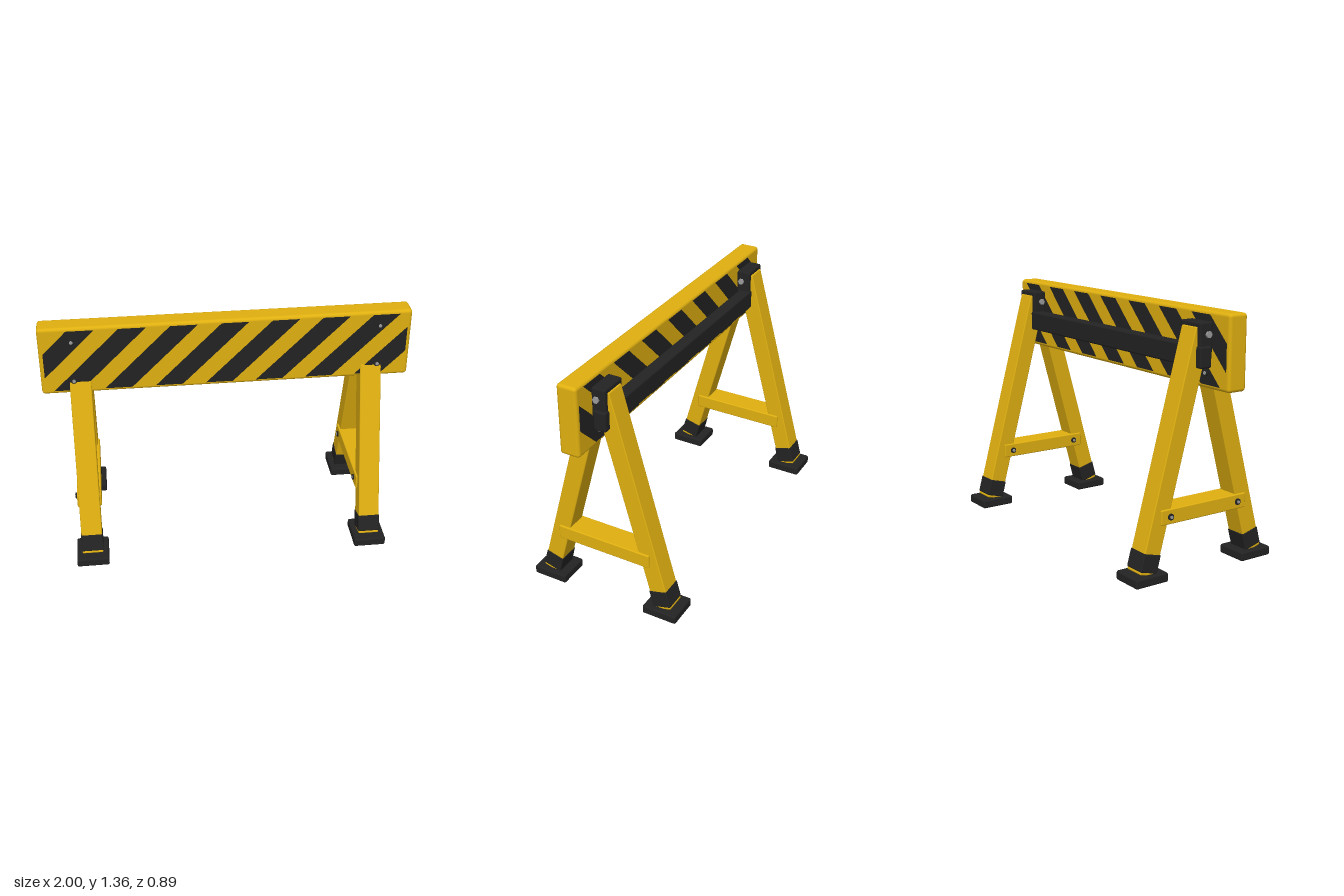
import * as THREE from 'three';
import { RoundedBoxGeometry } from 'three/addons/geometries/RoundedBoxGeometry.js';

const yellow = new THREE.MeshStandardMaterial({ color: 0xe0b010 });
yellow.name = 'safety yellow';
const black = new THREE.MeshStandardMaterial({ color: 0x232323 });
black.name = 'rubber black';
const grey = new THREE.MeshStandardMaterial({ color: 0x9c9c9c });
grey.name = 'bolt grey';

function box(parent, name, size, pos, material, radius = 0.01) {
  const mesh = new THREE.Mesh(new RoundedBoxGeometry(...size, 2, radius), material);
  mesh.name = name;
  mesh.position.set(...pos);
  parent.add(mesh);
  return mesh;
}

// Dark round washer with a hexagonal grey head, pointing along dir
function bolt(parent, name, pos, dir, washerRadius, headRadius) {
  const group = new THREE.Group();
  group.name = name;
  const layers = [[washerRadius, 0.008, 16, black], [headRadius, 0.013, 6, grey]];
  for (const [r, h, sides, material] of layers) {
    const mesh = new THREE.Mesh(new THREE.CylinderGeometry(r, r, h, sides), material);
    mesh.name = material === grey ? 'boltHead' : 'boltWasher';
    mesh.position.y = h / 2;
    group.add(mesh);
  }
  group.position.set(...pos);
  group.quaternion.setFromUnitVectors(new THREE.Vector3(0, 1, 0), new THREE.Vector3(...dir));
  parent.add(group);
}

// Diagonal stripe clipped to the panel's left and right edges
function stripeShape(center) {
  const halfH = 0.1785, halfW = 0.0725, edge = 0.978;
  let pts = [
    [center - halfW - halfH, -halfH], [center + halfW - halfH, -halfH],
    [center + halfW + halfH, halfH], [center - halfW + halfH, halfH],
  ];
  for (const s of [-1, 1]) {
    const out = [];
    pts.forEach((a, i) => {
      const b = pts[(i + 1) % pts.length];
      const da = edge - s * a[0], db = edge - s * b[0];
      if (da >= 0) out.push(a);
      if (da * db < 0) {
        const t = da / (da - db);
        out.push([a[0] + t * (b[0] - a[0]), a[1] + t * (b[1] - a[1])]);
      }
    });
    pts = out;
  }
  return new THREE.Shape(pts.map(p => new THREE.Vector2(...p)));
}

function createBoard() {
  const board = new THREE.Group();
  board.name = 'board';
  box(board, 'boardPanel', [2, 0.395, 0.115], [0, 1.1575, 0.0775], yellow, 0.018);

  // Stripes on the front and back faces
  for (let i = 0; i < 8; i++) {
    const geometry = new THREE.ExtrudeGeometry(stripeShape((i - 3.5) * 0.2727),
      { depth: 0.004, bevelEnabled: false });
    for (const z of [0.133, 0.018]) {
      const stripe = new THREE.Mesh(geometry, black);
      stripe.name = z > 0.1 ? 'frontStripe' : 'backStripe';
      stripe.position.set(0, 1.1585, z);
      board.add(stripe);
    }
  }

  // Through bolts
  for (const x of [-0.825, 0.825]) {
    for (const y of [1.04, 1.275]) {
      bolt(board, 'frontBoardBolt', [x, y, 0.135], [0, 0, 1], 0.017, 0.01);
      bolt(board, 'backBoardBolt', [x, y, 0.02], [0, 0, -1], 0.017, 0.01);
    }
  }
  return board;
}

function createTrestle(x) {
  const trestle = new THREE.Group();
  trestle.name = x < 0 ? 'rightTrestle' : 'leftTrestle';
  trestle.position.x = x;

  const top = new THREE.Vector2(0.02, 1.27), bottom = new THREE.Vector2(0.353, 0.045);
  const length = top.distanceTo(bottom);
  const lean = Math.atan2(bottom.x - top.x, top.y - bottom.y);
  for (const s of [1, -1]) {
    // Leaning leg with its rubber boot
    const leg = new THREE.Group();
    leg.name = s > 0 ? 'frontLeg' : 'backLeg';
    leg.position.set(0, bottom.y, s * bottom.x);
    leg.rotation.x = -s * lean;
    box(leg, 'legBeam', [0.116, length, 0.1], [0, length / 2, 0], yellow, 0.006);
    box(leg, 'legBoot', [0.122, 0.098, 0.106], [0, 0.063, 0], black, 0.006);
    trestle.add(leg);

    box(trestle, 'footPad', [0.18, 0.05, 0.2], [0, 0.025, s * 0.346], black, 0.01);
    bolt(trestle, 'braceBolt', [-0.068, 0.335, s * 0.222], [-1, 0, 0], 0.017, 0.009);
    bolt(trestle, 'bracketBolt', [s * 0.079, 1.243, -0.01], [s, 0, 0], 0.012, 0.018);
  }

  // Cross brace and the bracket over the leg tops
  box(trestle, 'brace', [0.136, 0.08, 0.556], [0, 0.335, 0], yellow, 0.006);
  box(trestle, 'topBracket', [0.16, 0.17, 0.08], [0, 1.22, -0.02], black, 0.01);
  return trestle;
}

export function createModel() {
  const model = new THREE.Group();
  model.name = 'barrier';
  model.add(createBoard(), createTrestle(-0.792), createTrestle(0.792));

  // Rail joining the two trestles behind the board
  box(model, 'rearRail', [1.774, 0.11, 0.072], [0, 1.13, -0.031], black, 0.01);
  return model;
}
